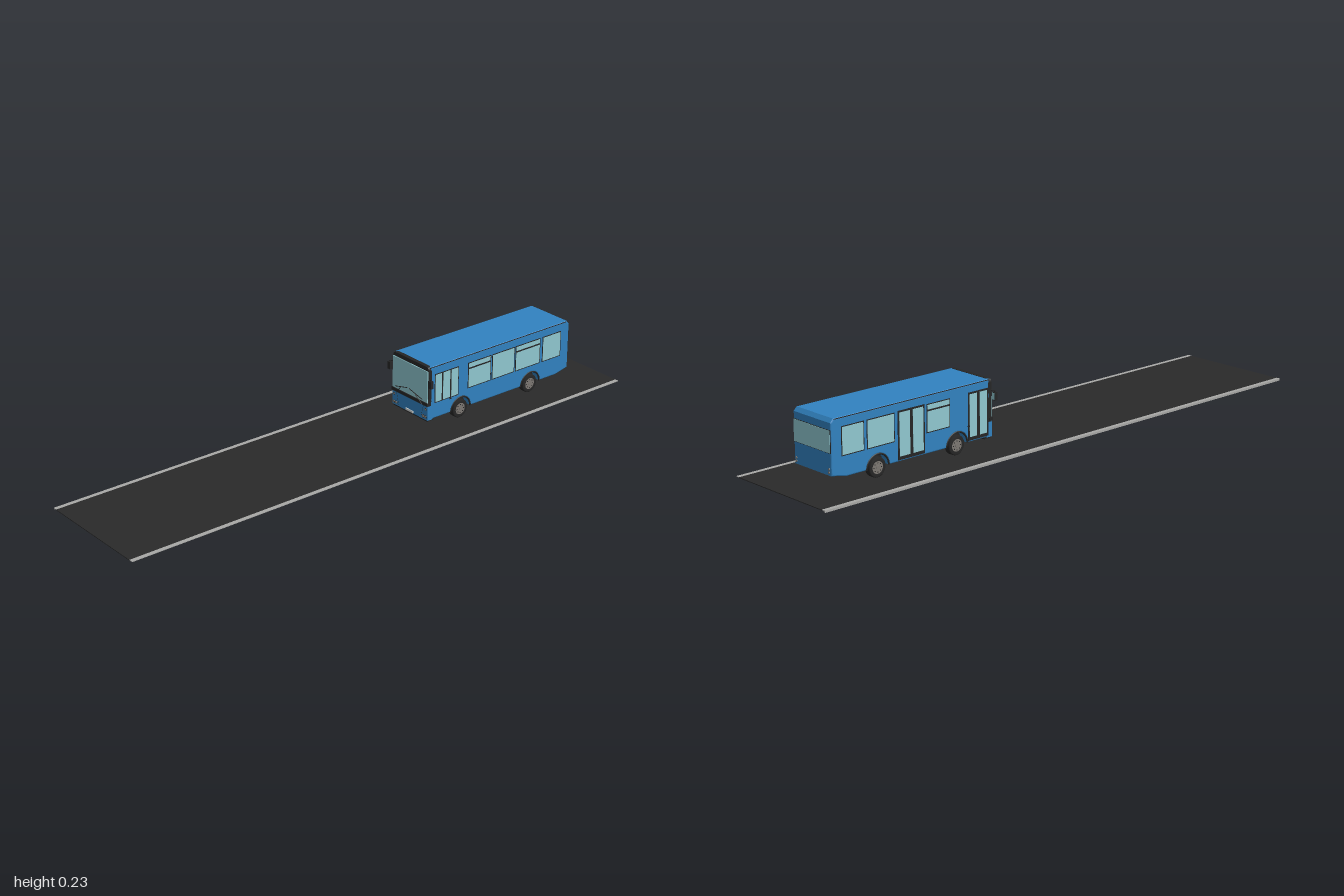
import * as THREE from 'three';

const mat = (name, color) => {
  const m = new THREE.MeshStandardMaterial({ color });
  m.name = name;
  return m;
};

export function createModel() {
  const blue = mat('body blue', 0x3182c0);
  const black = mat('trim black', 0x262626);
  const asphalt = mat('asphalt', 0x2a2a2a);
  const kerbGrey = mat('kerb grey', 0xa8a8a6);
  const glass = mat('window glass', 0x90c8d0);
  const metal = mat('wheel grey', 0x7c7772);
  const pale = mat('plate white', 0xd2d6d6);

  const model = new THREE.Group();
  model.name = 'busOnRoad';
  const bus = new THREE.Group();
  bus.name = 'bus';
  model.add(bus);

  const add = (name, geo, material, parent = bus) => {
    const m = new THREE.Mesh(geo, material);
    m.name = name;
    parent.add(m);
    return m;
  };
  const box = (name, material, x0, x1, y0, y1, z0, z1, parent = bus) => {
    const m = add(name, new THREE.BoxGeometry(x1 - x0, y1 - y0, z1 - z0), material, parent);
    m.position.set((x0 + x1) / 2, (y0 + y1) / 2, (z0 + z1) / 2);
    return m;
  };
  // Thin rod between two points
  const rod = (name, a, b, r, material = black) => {
    const path = new THREE.LineCurve3(new THREE.Vector3(...a), new THREE.Vector3(...b));
    return add(name, new THREE.TubeGeometry(path, 1, r, 6), material);
  };

  // Road with a pale kerb strip on each edge
  box('road', asphalt, -0.2, 0.2, 0.004, 0.0065, -1, 1, model);
  for (const s of [-1, 1]) {
    const x = s * 0.207;
    box('kerb', kerbGrey, x - 0.007, x + 0.007, 0.005, 0.007, -1, 1, model);
  }
  const lip = new THREE.Shape([[-0.214, 0], [-0.207, 0.005], [-0.214, 0.005]].map(p => new THREE.Vector2(...p)));
  add('kerbLip', new THREE.ExtrudeGeometry(lip, { depth: 2, bevelEnabled: false }), kerbGrey, model).position.z = -1;

  // Body: side profile with wheel arches, extruded across the width
  const axles = [-0.385, -0.7];
  const wheelY = 0.038, W = 0.089, BACK = -0.875, FRONT = -0.24;
  const side = new THREE.Shape();
  side.moveTo(-0.25, 0.038);
  side.lineTo(-0.25, 0.225);
  side.lineTo(-0.864, 0.225);
  side.lineTo(BACK, 0.213);
  side.lineTo(BACK, 0.05);
  side.lineTo(-0.82, 0.038);
  side.absarc(axles[1], 0.038, 0.043, Math.PI, 0, true);
  side.absarc(axles[0], 0.038, 0.043, Math.PI, 0, true);
  const bevel = 0.005;
  const bodyGeo = new THREE.ExtrudeGeometry(side, {
    depth: 2 * (W - bevel), bevelThickness: bevel, bevelSize: bevel, bevelOffset: -bevel,
    bevelSegments: 3, curveSegments: 16,
  });
  bodyGeo.translate(0, 0, -(W - bevel));
  bodyGeo.rotateY(-Math.PI / 2);
  add('body', bodyGeo, blue);
  // Dark housings close the arches between the wheels
  for (const z of axles) box('wheelHousing', black, -0.058, 0.058, 0.036, 0.092, z - 0.048, z + 0.048);

  // Front surround with rounded top corners
  const surround = new THREE.Shape();
  surround.moveTo(-W, 0.086);
  surround.lineTo(W, 0.086);
  surround.lineTo(W, 0.212);
  surround.quadraticCurveTo(W, 0.226, W - 0.014, 0.226);
  surround.lineTo(-W + 0.014, 0.226);
  surround.quadraticCurveTo(-W, 0.226, -W, 0.212);
  surround.closePath();
  add('frontSurround', new THREE.ExtrudeGeometry(surround, { depth: 0.014, bevelEnabled: false }), black)
    .position.z = -0.256;
  box('frontPanel', blue, -W, W, 0.037, 0.088, -0.262, FRONT);
  box('frontSkirt', black, -0.086, 0.086, 0.032, 0.037, -0.27, FRONT - 0.002);
  box('windscreen', glass, -0.0875, 0.0875, 0.1, 0.212, -0.25, -0.239);
  box('dashBand', black, -0.09, 0.09, 0.088, 0.099, -0.25, -0.237);
  box('numberPlate', pale, -0.018, 0.018, 0.039, 0.0465, -0.241, -0.237);

  // Lamp disc facing forward or backward
  const lamp = (name, x, y, z, r, material = metal) => {
    const m = add(name, new THREE.CylinderGeometry(r, r, 0.005, 16), material);
    m.rotation.x = Math.PI / 2;
    m.position.set(x, y, z);
  };
  for (const s of [-1, 1]) {
    for (const x of [0.068, 0.08]) {
      lamp('headlampRim', s * x, 0.048, FRONT - 0.001, 0.0055, black);
      lamp('headlamp', s * x, 0.048, FRONT, 0.0045);
    }
    lamp('indicatorRim', s * 0.08, 0.076, FRONT - 0.001, 0.0042, black);
    lamp('indicator', s * 0.08, 0.076, FRONT, 0.0032);
    rod('panelSeam', [s * 0.068, 0.086, FRONT], [s * 0.056, 0.042, FRONT], 0.0005);
    // Wipers
    rod('wiperArm', [s * 0.065, 0.09, -0.236], [s * 0.036, 0.117, -0.231], 0.0015);
    rod('wiperBlade', [s * 0.069, 0.109, -0.234], [s * 0.004, 0.126, -0.232], 0.0013);
    // Door mirrors on short arms
    rod('mirrorArm', [s * 0.087, 0.19, -0.248], [s * 0.102, 0.188, -0.24], 0.0015);
    rod('mirrorStem', [s * 0.102, 0.189, -0.24], [s * 0.102, 0.172, -0.24], 0.002);
    box('mirror', black, s * 0.103 - 0.006, s * 0.103 + 0.006, 0.158, 0.184, -0.246, -0.235);
    box('mirrorGlass', glass, s * 0.103 - 0.005, s * 0.103 + 0.005, 0.16, 0.182, -0.247, -0.245);
    // Roof gutter, side repeater and tail lamps
    box('roofGutter', black, s * 0.0875 - 0.0012, s * 0.0875 + 0.0012, 0.2205, 0.2235, -0.862, -0.25);
    box('sideRepeater', black, s * W - 0.002, s * W + 0.002, 0.088, 0.092, -0.342, -0.334);
    lamp('tailLamp', s * 0.078, 0.06, BACK, 0.0035);
    lamp('tailLamp', s * 0.078, 0.07, BACK, 0.0035);
  }

  // Side windows and doors: dark frame with glass set on it
  const pane = (name, s, material, z0, z1, y0, y1, out) =>
    box(name, material, s * W - out, s * W + out, y0, y1, z0, z1);
  const sideWindow = (s, z0, z1, y0 = 0.107, hopper = false) => {
    pane('windowFrame', s, black, z0 - 0.003, z1 + 0.003, y0 - 0.003, 0.196, 0.0008);
    pane('sideWindow', s, glass, z0, z1, y0, 0.193, 0.0014);
    if (hopper) pane('hopperBar', s, black, z0, z1, 0.173, 0.178, 0.0022);
  };
  // Double-leaf door on the right side
  const door = (z0, z1) => {
    pane('doorFrame', -1, black, z0, z1, 0.043, 0.198, 0.001);
    const mid = (z0 + z1) / 2;
    for (const [a, b] of [[z0, mid], [mid, z1]]) {
      pane('doorGlass', -1, glass, a + 0.006, b - 0.006, 0.054, 0.192, 0.002);
    }
  };
  // Left side
  sideWindow(1, -0.299, -0.272, 0.096);
  sideWindow(1, -0.335, -0.305, 0.096);
  sideWindow(1, -0.37, -0.341, 0.096);
  sideWindow(1, -0.513, -0.417, 0.107, true);
  sideWindow(1, -0.62, -0.524);
  sideWindow(1, -0.738, -0.63, 0.107, true);
  sideWindow(1, -0.834, -0.754);
  // Right side
  door(-0.34, -0.256);
  sideWindow(-1, -0.505, -0.417, 0.107, true);
  door(-0.622, -0.516);
  sideWindow(-1, -0.738, -0.637);
  sideWindow(-1, -0.834, -0.754);

  // Rear window
  box('rearWindowFrame', black, -0.087, 0.087, 0.119, 0.191, BACK - 0.001, BACK + 0.004);
  box('rearWindow', glass, -0.086, 0.086, 0.1205, 0.1895, BACK - 0.002, BACK + 0.004);

  // Wheels, hubs and arch trims
  const tyreProfile = [[0.018, -0.011], [0.029, -0.012], [0.032, -0.009], [0.032, 0.009], [0.029, 0.012], [0.018, 0.011]]
    .map(p => new THREE.Vector2(...p));
  for (const z of axles) {
    for (const s of [-1, 1]) {
      const wheel = new THREE.Group();
      wheel.name = 'wheel';
      wheel.position.set(s * 0.076, wheelY, z);
      wheel.rotation.z = -s * Math.PI / 2;
      bus.add(wheel);
      add('tyre', new THREE.LatheGeometry(tyreProfile, 28), black, wheel);
      add('rim', new THREE.CylinderGeometry(0.02, 0.02, 0.0225, 24), metal, wheel);
      add('hub', new THREE.CylinderGeometry(0.006, 0.008, 0.026, 12), metal, wheel);
      for (let i = 0; i < 8; i++) {
        const a = i * Math.PI / 4;
        const hole = add('rimHole', new THREE.CylinderGeometry(0.002, 0.002, 0.0235, 8), black, wheel);
        hole.position.set(Math.cos(a) * 0.0145, 0, Math.sin(a) * 0.0145);
      }
      const trim = add('archTrim', new THREE.TorusGeometry(0.0435, 0.0032, 6, 24, Math.PI), black);
      trim.rotation.y = Math.PI / 2;
      trim.position.set(s * 0.0868, wheelY, z);
    }
  }
  return model;
}
